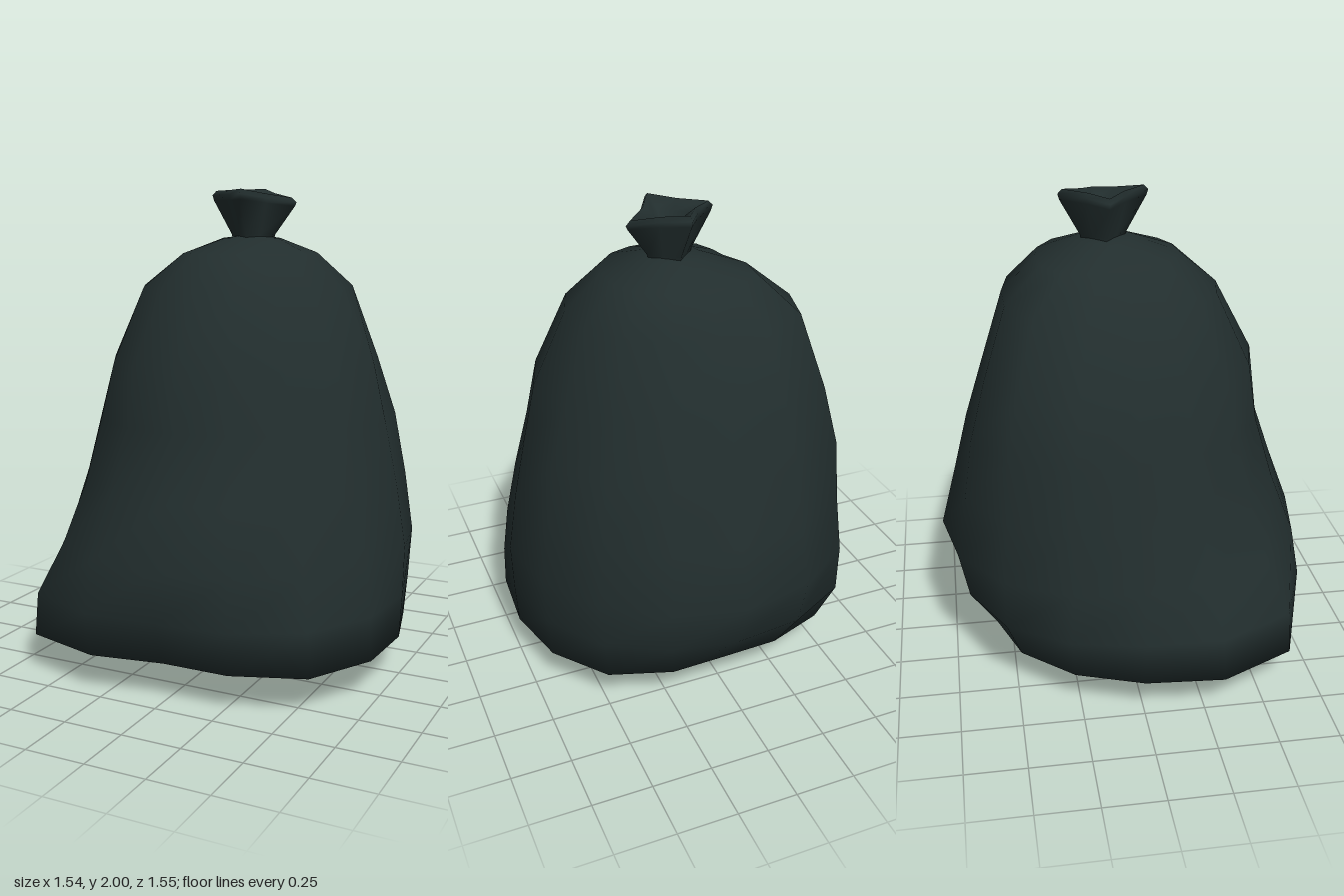
import * as THREE from 'three';
import { mergeVertices } from 'three/addons/utils/BufferGeometryUtils.js';

// Skin a stack of equal-length closed rings (each a list of Vector3)
function loft(rings) {
  const n = rings[0].length, pos = [], idx = [];
  rings.forEach(r => r.forEach(p => pos.push(p.x, p.y, p.z)));
  for (let i = 0; i < rings.length - 1; i++) {
    for (let j = 0; j < n; j++) {
      const a = i * n + j, b = i * n + (j + 1) % n;
      idx.push(a, a + n, b, b, a + n, b + n);
    }
  }
  let g = new THREE.BufferGeometry();
  g.setAttribute('position', new THREE.Float32BufferAttribute(pos, 3));
  g.setIndex(idx);
  g = mergeVertices(g, 1e-4);
  g.computeVertexNormals();
  return g;
}

// Ring of 16 points from 8 radii, going from +x towards +z
function sackRing(y, radii, cx = 0, cz = 0) {
  const at = k => radii[(k + 8) % 8];
  return Array.from({ length: 16 }, (_, i) => {
    const k = i >> 1;
    const r = i % 2 ? (9 * (at(k) + at(k + 1)) - at(k - 1) - at(k + 2)) / 16 : at(k);
    const a = i * Math.PI / 8;
    return new THREE.Vector3(cx + r * Math.cos(a), y, cz + r * Math.sin(a));
  });
}

export function createModel() {
  const group = new THREE.Group();
  const plastic = new THREE.MeshStandardMaterial({ color: 0x222e2e });
  plastic.name = 'dark plastic';
  const add = (name, geometry) => {
    const mesh = new THREE.Mesh(geometry, plastic);
    mesh.name = name;
    group.add(mesh);
  };

  // Slumped sack: radii towards +x, +x+z, +z, -x+z, -x, -x-z, -z, +x-z
  const levels = [
    [0.05, [.42, .40, .37, .52, .48, .42, .35, .40]],
    [0.16, [.745, .81, .68, .90, .76, .68, .58, .71]],
    [0.34, [.755, .80, .74, .885, .76, .765, .71, .74]],
    [0.55, [.76, .75, .775, .77, .71, .77, .78, .76]],
    [0.80, [.72, .68, .68, .67, .65, .74, .715, .72]],
    [1.06, [.665, .60, .59, .60, .59, .72, .65, .67]],
    [1.30, [.61, .55, .57, .54, .53, .655, .575, .57]],
    [1.60, [.465, .42, .41, .41, .395, .54, .48, .49]],
    [1.735, [.31, .28, .25, .24, .22, .36, .34, .35]],
  ];
  const zero = Array(8).fill(0);
  add('sack', loft([
    sackRing(0, zero, -0.06, 0),
    ...levels.map(([y, r]) => sackRing(y, r)),
    sackRing(1.795, Array(8).fill(.12), .04, -.05),
    sackRing(1.81, zero, .04, -.05),
  ]));

  // Gathered neck: four-pointed flared tuft with a hollow middle
  const tips = [[.23, 1.94, -.08], [.07, 1.975, .135], [-.145, 1.97, -.05], [.02, 1.98, -.24]];
  const tuftRing = (scale, y, follow, pinch) => {
    const ring = [];
    tips.forEach((t, i) => {
      const u = tips[(i + 1) % 4];
      const point = (x, ty, z, s) => ring.push(new THREE.Vector3(
        .042 + (x - .042) * s, y + (ty - 1.965) * follow, -.055 + (z + .055) * s));
      point(...t, scale);
      point((t[0] + u[0]) / 2, (t[1] + u[1]) / 2, (t[2] + u[2]) / 2, scale * pinch);
    });
    return ring;
  };
  add('tiedNeck', loft([
    tuftRing(.46, 1.77, 0, 1.1),
    tuftRing(.52, 1.81, 0, 1),
    tuftRing(.96, 1.945, .8, .88),
    tuftRing(1, 1.966, 1, .86),
    tuftRing(.9, 1.985, 1, .86),
    tuftRing(.5, 1.95, .6, .9),
    tuftRing(.22, 1.85, 0, 1),
    tuftRing(0, 1.85, 0, 1),
  ]));
  return group;
}
